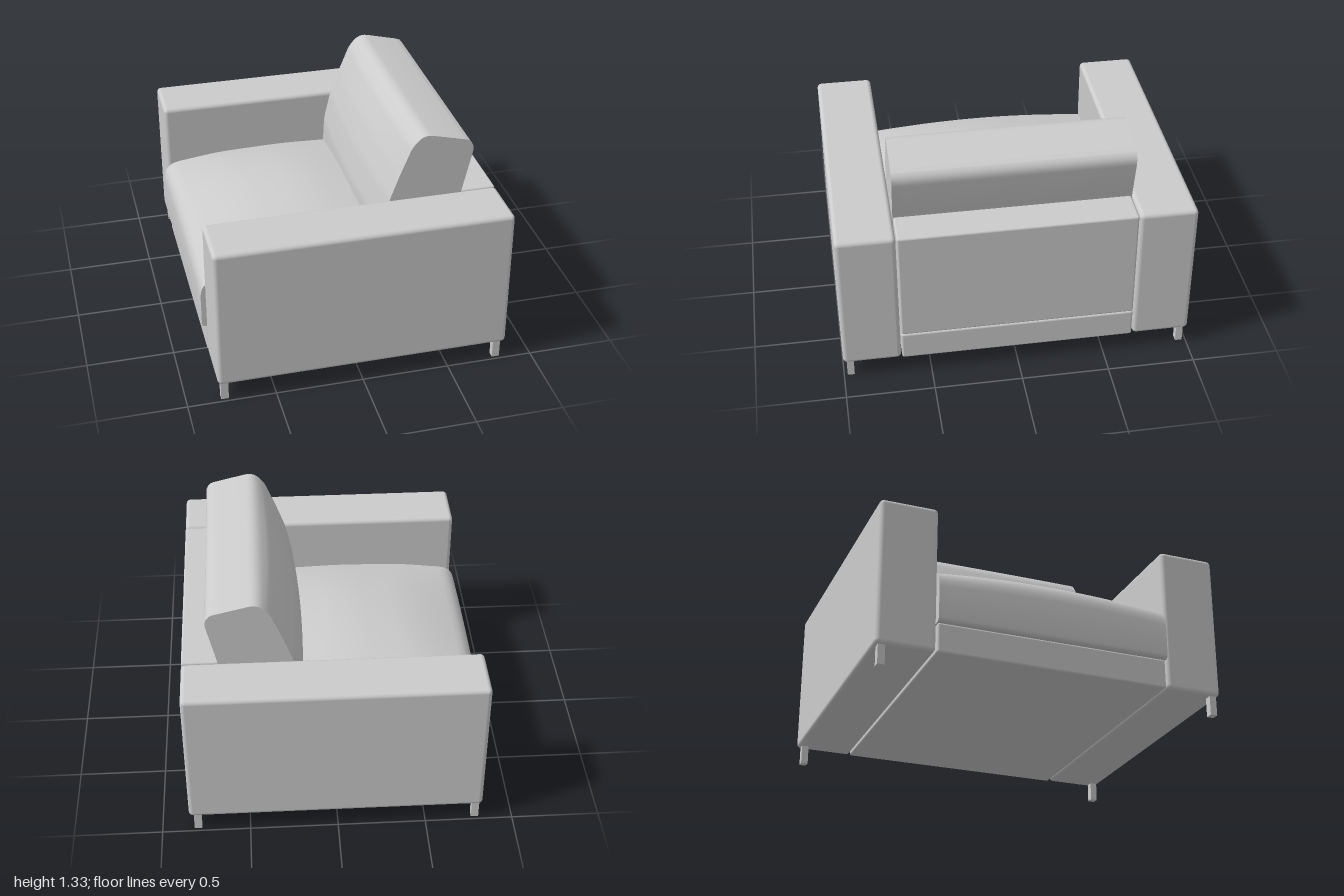
import * as THREE from 'three';
import { toCreasedNormals } from 'three/addons/utils/BufferGeometryUtils.js';
import { RoundedBoxGeometry } from 'three/addons/geometries/RoundedBoxGeometry.js';

const material = new THREE.MeshStandardMaterial({ color: 0xcccccc });
const HALF = 0.665; // half width between the arms

function add(group, name, geometry) {
  const mesh = new THREE.Mesh(geometry, material);
  mesh.name = name;
  group.add(mesh);
  return mesh;
}

// Soft-edged block given by its two extreme corners
function block(group, name, [x0, y0, z0], [x1, y1, z1], radius) {
  const geometry = new RoundedBoxGeometry(x1 - x0, y1 - y0, z1 - z0, 3, radius);
  geometry.translate((x0 + x1) / 2, (y0 + y1) / 2, (z0 + z1) / 2);
  return add(group, name, geometry);
}

// Rounds every corner of an outline: corners are [x, y, radius], counter-clockwise
function roundOutline(corners, steps = 5) {
  const points = [];
  corners.forEach(([x, y, r], i) => {
    const n = corners.length;
    const p = new THREE.Vector2(x, y);
    const toward = ([a, b]) => {
      const d = new THREE.Vector2(a, b).sub(p);
      return p.clone().addScaledVector(d.normalize(), r);
    };
    const curve = new THREE.QuadraticBezierCurve(
      toward(corners[(i + n - 1) % n]), p, toward(corners[(i + 1) % n]));
    points.push(...curve.getPoints(steps));
  });
  return points;
}

// Lofts outline(s) along z, with s running from -1 to 1, and caps both ends
function loft(outline, steps) {
  const positions = [], index = [];
  let n = 0;
  for (let i = 0; i <= steps; i++) {
    const s = -1 + (2 * i) / steps;
    const ring = outline(s);
    n = ring.length;
    ring.forEach((p) => positions.push(p.x, p.y, s * (HALF + 0.003)));
  }
  for (let i = 0; i < steps; i++) {
    for (let j = 0; j < n; j++) {
      const a = i * n + j, b = i * n + (j + 1) % n;
      index.push(a, b, b + n, a, b + n, a + n);
    }
  }
  const last = steps * n;
  THREE.ShapeUtils.triangulateShape(outline(-1), []).forEach(([a, b, c]) => index.push(a, c, b));
  THREE.ShapeUtils.triangulateShape(outline(1), []).forEach(([a, b, c]) =>
    index.push(last + a, last + b, last + c));
  const geometry = new THREE.BufferGeometry();
  geometry.setAttribute('position', new THREE.Float32BufferAttribute(positions, 3));
  geometry.setIndex(index);
  return toCreasedNormals(geometry, 0.7);
}

export function createModel() {
  const group = new THREE.Group();
  group.name = 'armchair';

  // Frame: base, back panel and two arms (the seat opens toward -x)
  block(group, 'base', [-0.825, 0.11, -HALF], [0.845, 0.28, HALF], 0.012);
  block(group, 'backPanel', [0.62, 0.28, -HALF], [0.845, 0.955, HALF], 0.012);
  for (const side of [-1, 1]) {
    const arm = block(group, side > 0 ? 'leftArm' : 'rightArm',
      [-0.825, 0.11, -0.165], [0.845, 0.96, 0.165], 0.025);
    arm.position.z = side * 0.835;
  }

  // Seat cushion: the top swells toward the middle
  add(group, 'seatCushion', loft((s) => {
    const swell = 1 - s * s;
    const top = 0.6 + 0.025 * swell;
    const ring = roundOutline([
      [-0.85, 0.28, 0.025], [0.62, 0.28, 0.01], [0.62, top, 0.02],
      [0.3, top + 0.02, 0.06], [-0.1, top + 0.035, 0.12], [-0.5, top + 0.025, 0.1], [-0.85, top - 0.02, 0.1],
    ]);
    ring.forEach((p) => {
      const u = THREE.MathUtils.clamp((p.x + 0.85) / 1.47, 0, 1);
      if (p.y > 0.5) p.y += 0.09 * swell * Math.sin(Math.PI * u);
    });
    return ring;
  }, 24));

  // Back cushion: leaning, with a front that bulges toward the middle
  add(group, 'backCushion', loft((s) => {
    const bulge = 0.03 * (1 - s * s);
    const front = [[0.415, 1.34], [0.35, 1.27], [0.285, 1.11], [0.23, 0.96], [0.19, 0.78], [0.18, 0.56]];
    return roundOutline([
      [0.59, 0.56, 0.02], [0.645, 0.96, 0.02], [0.712, 1.255, 0.06], [0.66, 1.28, 0.02],
      ...front.map(([x, y], i) => [x - (i > 0 ? bulge * Math.min(1, i / 2) : 0), y, i === 0 ? 0.05 : 0.03]),
    ]);
  }, 24));

  // Legs
  for (const x of [-0.787, 0.797]) {
    for (const z of [-0.96, 0.96]) {
      const leg = add(group, 'leg', new THREE.BoxGeometry(0.043, 0.12, 0.04));
      leg.position.set(x, 0.06, z);
    }
  }
  return group;
}
